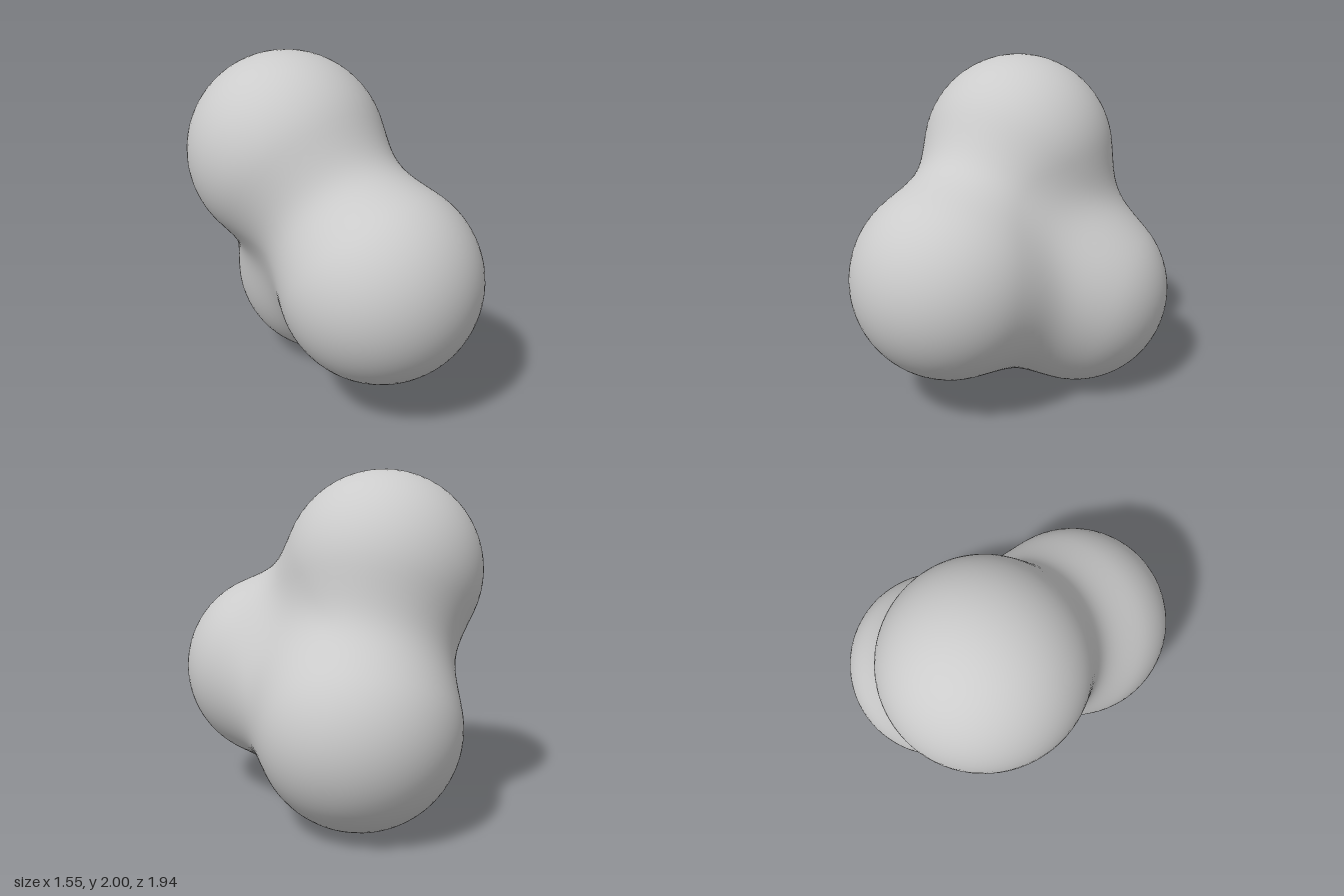
import * as THREE from 'three';
import { mergeVertices } from 'three/addons/utils/BufferGeometryUtils.js';

// Three equal balls melted into one smooth body
const RADIUS = 0.58;
const BLEND = 0.36;
const BALLS = [
  new THREE.Vector3(-0.2, 1.42, -0.31), // upper ball
  new THREE.Vector3(-0.13, 0.79, 0.39), // front ball
  new THREE.Vector3(0.19, 0.58, -0.39), // lower rear ball
];

// Smooth minimum: rounds the crease where two balls meet
function smoothMin(a, b) {
  const h = Math.max(BLEND - Math.abs(a - b), 0);
  return Math.min(a, b) - (h * h) / (4 * BLEND);
}

// Signed distance to the melted body
function field(p) {
  return BALLS.map((c) => p.distanceTo(c) - RADIUS).reduce(smoothMin);
}

export function createModel() {
  const group = new THREE.Group();
  group.name = 'blob';

  // The middle lies inside all three balls, so each ray from it leaves the body once
  const middle = new THREE.Vector3();
  BALLS.forEach((c) => middle.addScaledVector(c, 1 / BALLS.length));

  let geometry = new THREE.IcosahedronGeometry(1, 20);
  geometry.deleteAttribute('normal');
  geometry.deleteAttribute('uv');
  geometry = mergeVertices(geometry, 1e-4);

  // Push every vertex of a unit ball out to the surface by bisection
  const pos = geometry.attributes.position;
  const dir = new THREE.Vector3();
  const p = new THREE.Vector3();
  for (let i = 0; i < pos.count; i++) {
    dir.fromBufferAttribute(pos, i).normalize();
    let near = 0;
    let far = 2;
    for (let step = 0; step < 24; step++) {
      const t = (near + far) / 2;
      p.copy(middle).addScaledVector(dir, t);
      if (field(p) < 0) near = t;
      else far = t;
    }
    pos.setXYZ(i, p.x, p.y, p.z);
  }
  geometry.computeVertexNormals();

  const body = new THREE.Mesh(geometry, new THREE.MeshStandardMaterial({ color: 0xcccccc }));
  body.name = 'meltedBalls';
  group.add(body);
  return group;
}
